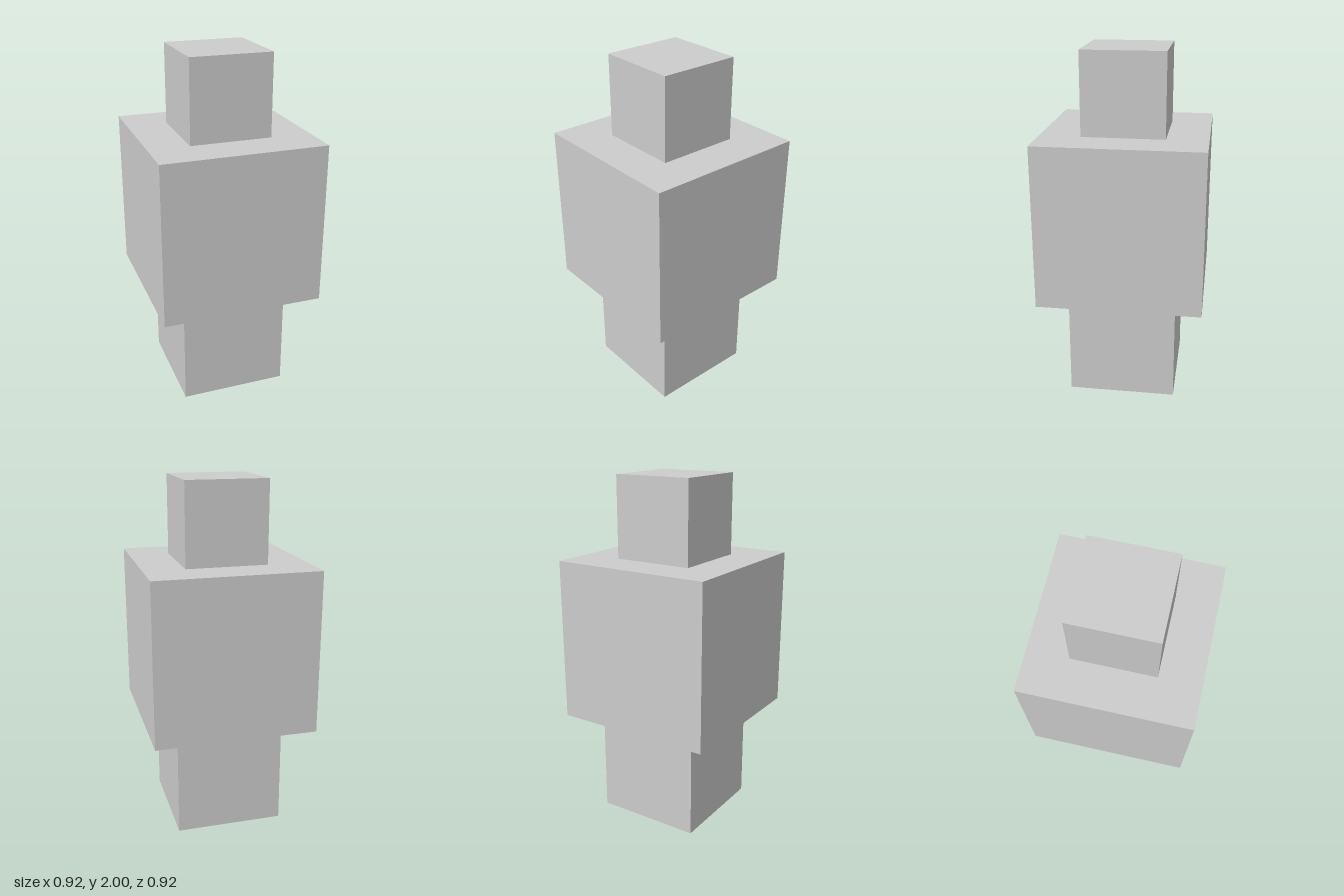
import * as THREE from 'three';

// Cube shell with an open underside
function openCube(size) {
  const geometry = new THREE.BoxGeometry(size, size, size);
  const index = Array.from(geometry.index.array);
  index.splice(18, 6); // the -y face
  geometry.setIndex(index);
  geometry.clearGroups();
  return geometry;
}

export function createModel() {
  const group = new THREE.Group();
  group.name = 'stackedCubes';

  const grey = new THREE.MeshStandardMaterial({ color: 0xcccccc, side: THREE.DoubleSide });
  grey.name = 'light grey';

  // Three cubes stacked from the ground up, 26 units tall in all
  const unit = 1 / 13;
  let y = 0;
  for (const [name, units] of [['base', 8], ['body', 12], ['head', 6]]) {
    const size = units * unit;
    const mesh = new THREE.Mesh(openCube(size), grey);
    mesh.name = name;
    mesh.position.y = y + size / 2;
    group.add(mesh);
    y += size;
  }
  return group;
}
